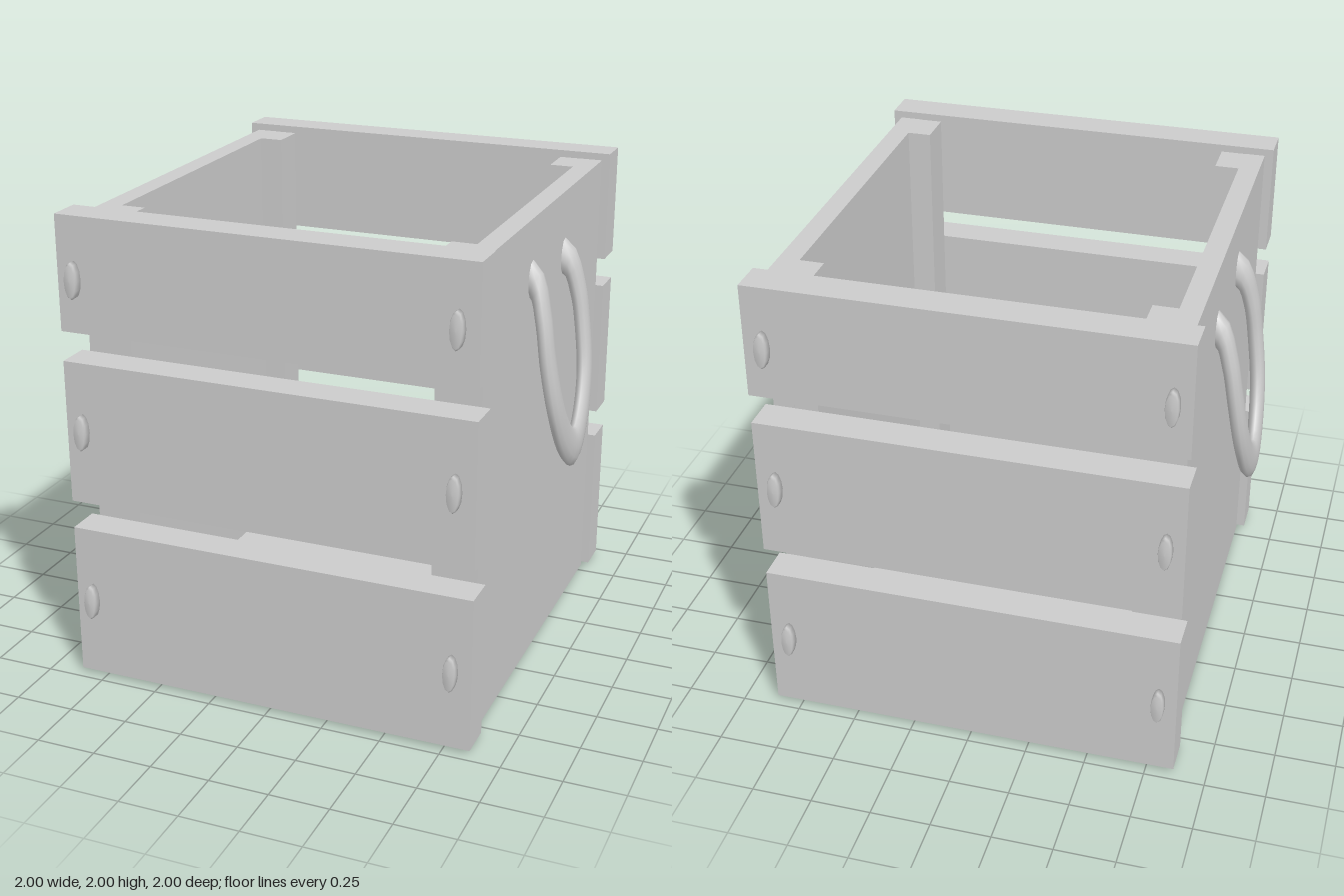
import * as THREE from 'three';

const material = new THREE.MeshStandardMaterial({ color: 0xcccccc });

export function createModel() {
  const crate = new THREE.Group();
  crate.name = 'crate';

  const add = (name, geometry) => {
    const mesh = new THREE.Mesh(geometry, material);
    mesh.name = name;
    crate.add(mesh);
    return mesh;
  };
  // box given by its minimum and maximum on each axis
  const box = (name, x0, x1, y0, y1, z0, z1) =>
    add(name, new THREE.BoxGeometry(x1 - x0, y1 - y0, z1 - z0))
      .position.set((x0 + x1) / 2, (y0 + y1) / 2, (z0 + z1) / 2);

  // floor, slightly raised above the lower edge of the panels
  box('floor', -0.74, 0.74, 0.03, 0.08, -0.81, 0.81);

  // solid side panels and inner corner posts
  for (const s of [-1, 1]) {
    const side = s > 0 ? 'left' : 'right';
    const span = (a, b) => (s > 0 ? [a, b] : [-b, -a]);
    box(side + 'Panel', ...span(0.74, 0.827), 0.005, 1.97, -0.812, 0.812);
    box(side + 'FrontPost', ...span(0.64, 0.74), 0.08, 1.97, 0.65, 0.81);
    box(side + 'BackPost', ...span(0.64, 0.74), 0.08, 1.97, -0.81, -0.65);
    add(side + 'Handle', handleGeometry(s));
  }

  // slats with an oval bolt head at each end
  const slats = [[0.02, 0.675, 0.355], [0.795, 1.4, 1.11], [1.525, 2, 1.745]];
  const boltProfile = [[0, 0], [1, 0], [1, 0.032], [0.88, 0.042], [0, 0.044]]
    .map(([r, h]) => new THREE.Vector2(r * 0.075, h));
  for (const f of [-1, 1]) {
    const face = f > 0 ? 'front' : 'back';
    for (const [y0, y1, boltY] of slats) {
      box(face + 'Slat', -0.864, 0.861, y0, y1, f > 0 ? 0.812 : -0.957, f > 0 ? 0.957 : -0.812);
      for (const x of [-0.79, 0.78]) {
        const bolt = add(face + 'Bolt', new THREE.LatheGeometry(boltProfile, 12));
        bolt.rotation.x = f * Math.PI / 2;
        bolt.scale.x = 0.36;
        bolt.position.set(x, boltY, f * 0.956);
      }
    }
  }
  return crate;
}

// hanging loop: a tube flattened sideways and thickened towards the bottom
function handleGeometry(s) {
  const points = [
    [0.78, 1.735, 0.205], [0.845, 1.7, 0.215], [0.888, 1.57, 0.24], [0.915, 1.4, 0.25],
    [0.943, 1.2, 0.215], [0.96, 1.03, 0.115], [0.967, 0.955, 0], [0.96, 1.03, -0.12],
    [0.943, 1.2, -0.225], [0.915, 1.4, -0.265], [0.888, 1.55, -0.27], [0.845, 1.67, -0.26],
    [0.78, 1.7, -0.25],
  ].map(([x, y, z]) => new THREE.Vector3(s * x, y, z));
  const curve = new THREE.CatmullRomCurve3(points);
  const rings = 48, sides = 12;
  const geometry = new THREE.TubeGeometry(curve, rings, 0.052, sides);
  const pos = geometry.attributes.position;
  const v = new THREE.Vector3();
  for (let i = 0; i < pos.count; i++) {
    const centre = curve.getPointAt(Math.floor(i / (sides + 1)) / rings);
    v.fromBufferAttribute(pos, i).sub(centre);
    v.multiply(new THREE.Vector3(0.6, 1.65, 1)).add(centre);
    pos.setXYZ(i, v.x, v.y, v.z);
  }
  geometry.computeVertexNormals();
  // share normals across the seam of each ring
  const normal = geometry.attributes.normal;
  for (let r = 0; r <= rings; r++) {
    const a = r * (sides + 1), b = a + sides;
    v.fromBufferAttribute(normal, a).add(new THREE.Vector3().fromBufferAttribute(normal, b)).normalize();
    normal.setXYZ(a, v.x, v.y, v.z);
    normal.setXYZ(b, v.x, v.y, v.z);
  }
  return geometry;
}
